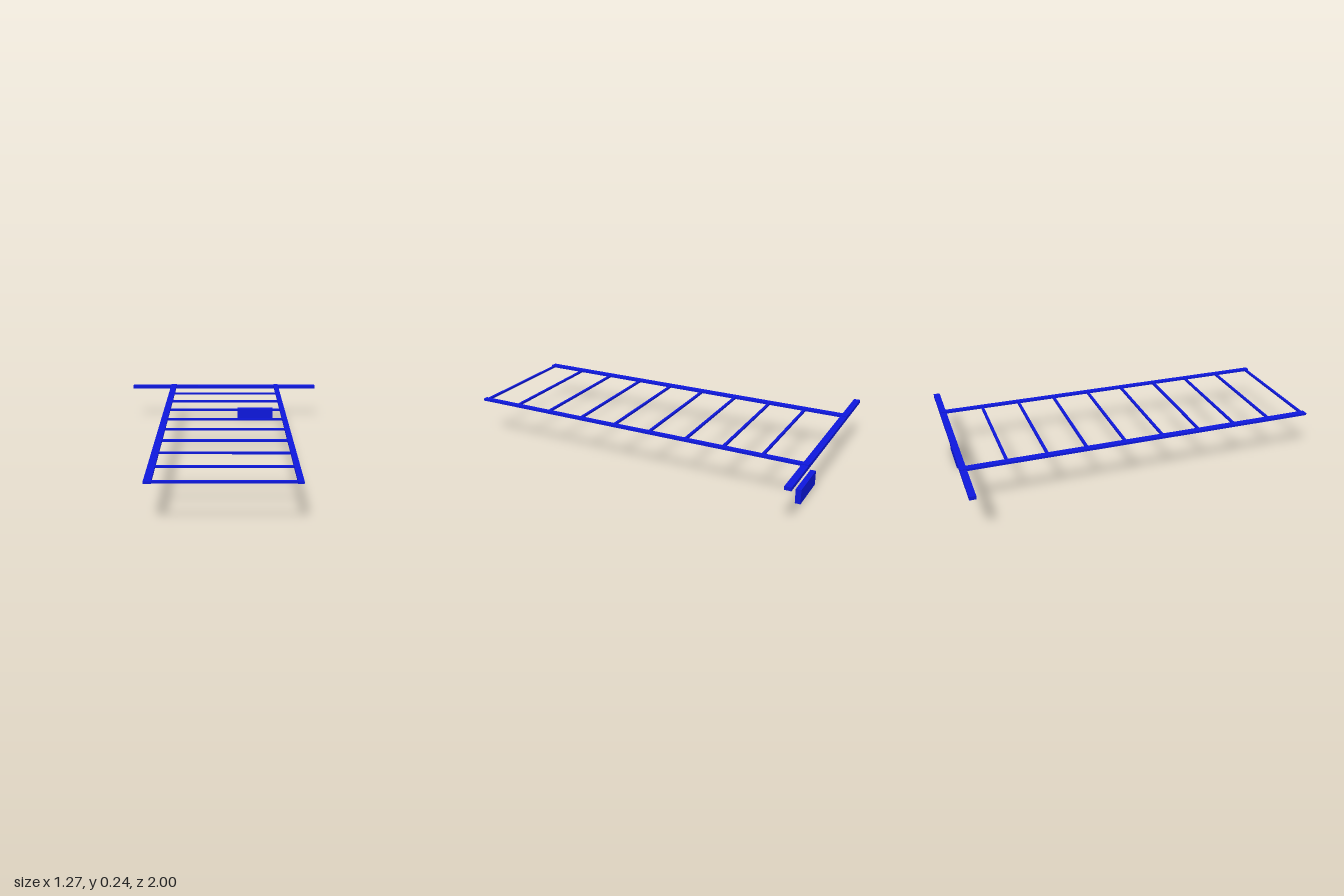
import * as THREE from 'three';

export function createModel() {
  const model = new THREE.Group();
  const blue = new THREE.MeshStandardMaterial({ color: 0x0d17dc });

  // Box given by its [min, max] extents on each axis
  const addBox = (name, [x0, x1], [y0, y1], [z0, z1]) => {
    const mesh = new THREE.Mesh(new THREE.BoxGeometry(x1 - x0, y1 - y0, z1 - z0), blue);
    mesh.position.set((x0 + x1) / 2, (y0 + y1) / 2, (z0 + z1) / 2);
    mesh.name = name;
    model.add(mesh);
  };

  // Long side rails; the right one is slightly wider
  addBox('rightRail', [-0.37, -0.332], [0.231, 0.243], [-1, 1]);
  addBox('leftRail', [0.348, 0.378], [0.231, 0.243], [-1, 1]);

  // Wide crossbar at the back end
  addBox('crossbar', [-0.637, 0.637], [0.22, 0.239], [-1, -0.964]);

  // Evenly spaced rungs between the rails
  for (let i = 0; i < 9; i++) {
    const z = -0.753 + i * 0.217;
    addBox('rung' + (i + 1), [-0.34, 0.355], [0.23, 0.241], [z - 0.0075, z + 0.0075]);
  }

  // Separate block below the back end
  addBox('block', [0.095, 0.343], [0, 0.081], [-0.964, -0.934]);

  return model;
}
